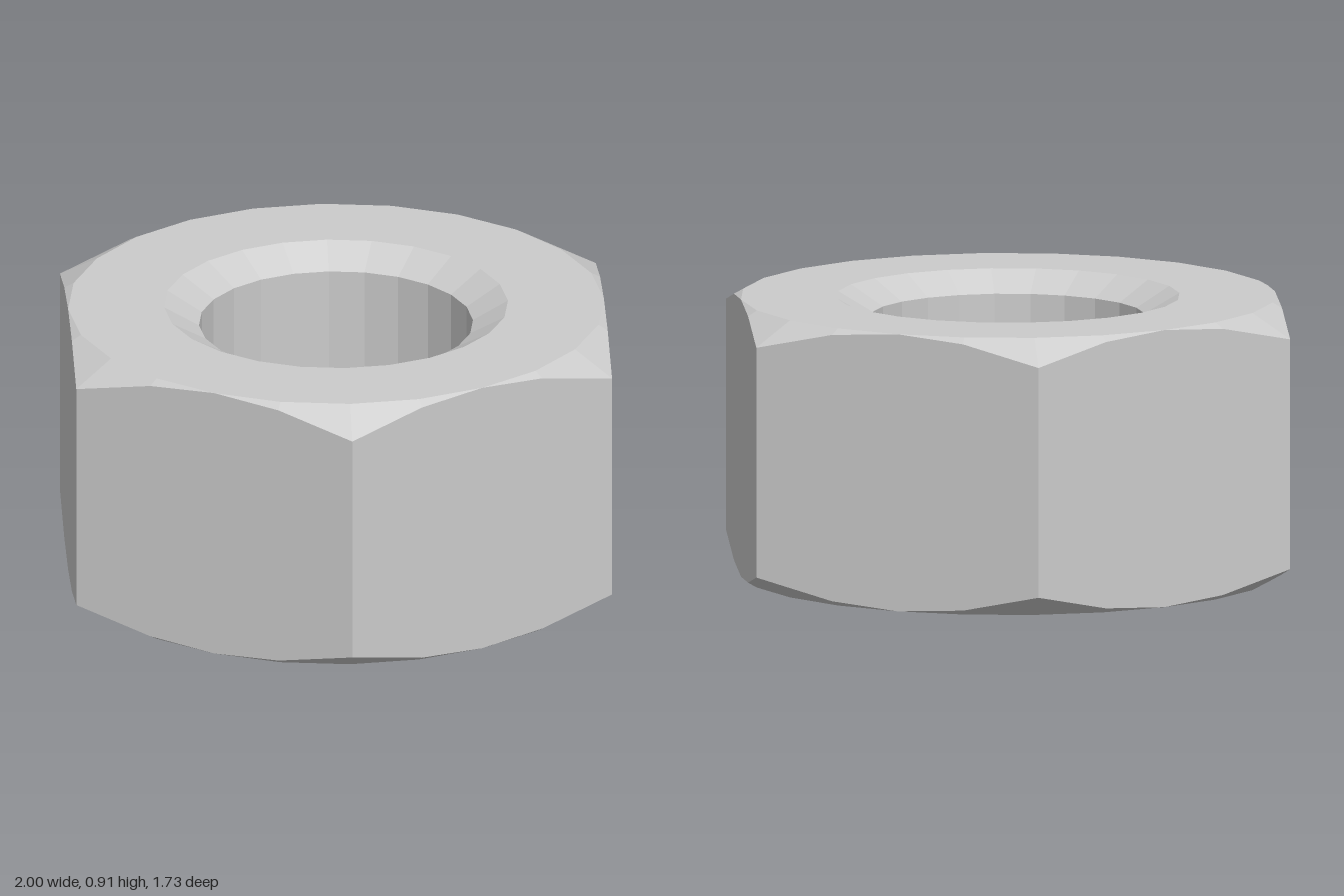
import * as THREE from 'three';

const SIDES = 24, HEIGHT = 0.906;
const APOTHEM = Math.sqrt(3) / 2; // hexagon with corners at radius 1
const BORE = 0.443, BORE_RIM = 0.556;
const SLOPE = Math.tan(Math.PI / 6); // 30 degree chamfers

// Revolve a [radius, height] profile into a faceted part
function lathePart(name, profile) {
  const geometry = new THREE.LatheGeometry(profile.map(([r, y]) => new THREE.Vector2(r, y)), SIDES);
  const material = new THREE.MeshStandardMaterial({ color: 0xcccccc, flatShading: true });
  const mesh = new THREE.Mesh(geometry, material);
  mesh.name = name;
  return mesh;
}

// Push the corner-radius points onto the hexagon, following the conical chamfer
function shapeHexagon(geometry) {
  const p = geometry.attributes.position;
  for (let i = 0; i < p.count; i++) {
    const x = p.getX(i), z = p.getZ(i);
    if (Math.hypot(x, z) < 0.95) continue;
    const angle = Math.atan2(z, x);
    const sector = Math.PI / 3;
    const offset = angle - (Math.floor(angle / sector + 1e-6) + 0.5) * sector;
    const r = APOTHEM / Math.cos(offset);
    const drop = (r - APOTHEM) * SLOPE;
    const y = p.getY(i) > HEIGHT / 2 ? HEIGHT - drop : drop;
    p.setXYZ(i, r * Math.cos(angle), y, r * Math.sin(angle));
  }
  geometry.computeVertexNormals();
}

export function createModel() {
  const group = new THREE.Group();
  group.name = 'hexNut';

  // Hexagonal body: flat bottom, chamfer, six sides, chamfer, flat top
  const drop = (1 - APOTHEM) * SLOPE;
  const body = lathePart('hexBody', [
    [BORE_RIM, 0], [APOTHEM, 0], [1, drop],
    [1, HEIGHT - drop], [APOTHEM, HEIGHT], [BORE_RIM, HEIGHT],
  ]);
  shapeHexagon(body.geometry);

  // Through hole with a countersink at both ends
  const sink = (BORE_RIM - BORE) * SLOPE;
  const bore = lathePart('countersunkBore', [
    [BORE_RIM, HEIGHT], [BORE, HEIGHT - sink], [BORE, sink], [BORE_RIM, 0],
  ]);

  group.add(body, bore);
  return group;
}
